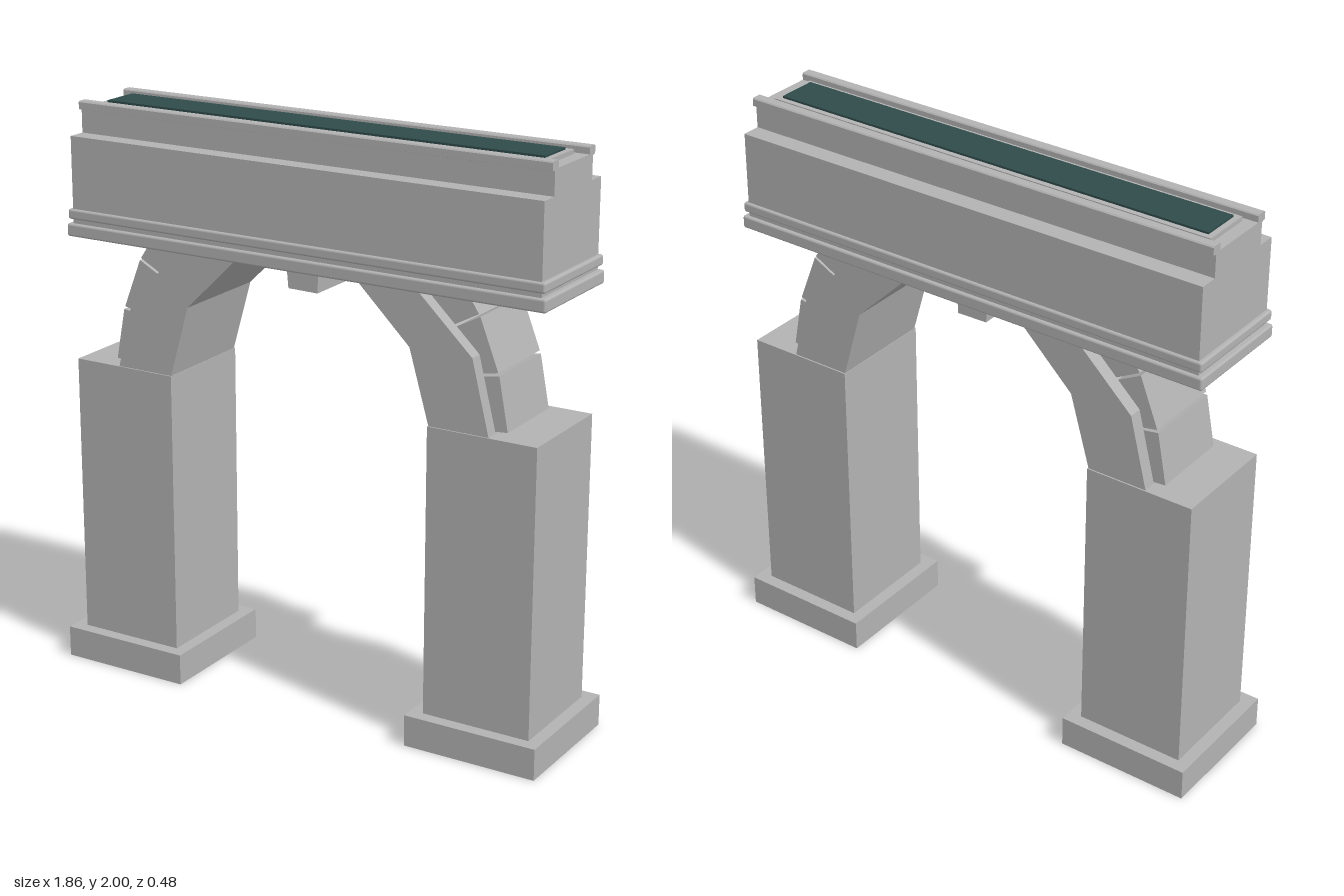
import * as THREE from 'three';
import { RoundedBoxGeometry } from 'three/addons/geometries/RoundedBoxGeometry.js';

export function createModel() {
  const model = new THREE.Group();
  model.name = 'archway';
  const stone = new THREE.MeshStandardMaterial({ color: 0xb2b2b2 });
  stone.name = 'grey stone';
  const slate = new THREE.MeshStandardMaterial({ color: 0x2f4a4a });
  slate.name = 'dark teal';

  const add = (name, geometry, parent = model, material = stone) => {
    const mesh = new THREE.Mesh(geometry, material);
    mesh.name = name;
    parent.add(mesh);
    return mesh;
  };
  // Box spanning y0..y1, centred on x and z = 0
  const box = (name, w, y0, y1, d, x = 0, parent = model, material = stone) => {
    const mesh = add(name, new THREE.BoxGeometry(w, y1 - y0, d), parent, material);
    mesh.position.set(x, (y0 + y1) / 2, 0);
    return mesh;
  };
  // Box with slightly softened edges
  const softBox = (name, w, y0, y1, d) => {
    const mesh = add(name, new RoundedBoxGeometry(w, y1 - y0, d, 2, 0.008));
    mesh.position.y = (y0 + y1) / 2;
  };
  // Outline extruded by a depth centred on zero
  const slab = (points, depth) => {
    const shape = new THREE.Shape(points.map(([x, y]) => new THREE.Vector2(x, y)));
    const g = new THREE.ExtrudeGeometry(shape, { depth, bevelEnabled: false });
    return g.translate(0, 0, -depth / 2);
  };

  // Pillars with plinths, curved braces and outer blocks
  for (const side of [1, -1]) {
    const leg = new THREE.Group();
    leg.name = side > 0 ? 'leftLeg' : 'rightLeg';
    model.add(leg);
    const flip = (pts) => pts.map(([x, y]) => [x * side, y]);

    box('plinth', 0.48, 0, 0.11, 0.48, side * 0.69, leg);
    box('pillar', 0.39, 0.11, 1.11, 0.39, side * 0.69, leg);

    add('archBrace', slab(flip([
      [0.5, 1.1], [0.715, 1.1], [0.65, 1.36], [0.45, 1.55], [0.23, 1.55], [0.425, 1.36],
    ]), 0.38), leg);

    const blocks = [
      [[0.7, 1.115], [0.755, 1.12], [0.721, 1.3], [0.66, 1.29], [0.62, 1.3]],
      [[0.62, 1.31], [0.665, 1.3], [0.717, 1.31], [0.65, 1.482], [0.563, 1.436], [0.52, 1.42]],
      [[0.52, 1.43], [0.56, 1.444], [0.645, 1.49], [0.605, 1.55], [0.42, 1.55]],
    ];
    blocks.forEach((pts, i) => add('archBlock' + (i + 1), slab(flip(pts), 0.285), leg));
  }

  // Keystone hanging below the lintel
  add('keystone', slab([[-0.058, 1.47], [0.053, 1.468], [0.057, 1.55], [-0.065, 1.55]], 0.28));

  // Cornice mouldings
  softBox('lowerCornice', 1.81, 1.545, 1.59, 0.415);
  box('corniceNeck', 1.77, 1.585, 1.61, 0.39);
  softBox('upperCornice', 1.8, 1.605, 1.64, 0.41);

  // Stepped lintel with a rail along each top edge, extruded along x
  const half = [
    [0.195, 1.635], [0.195, 1.89], [0.13, 1.89], [0.13, 1.968], [0.145, 1.972],
    [0.145, 1.996], [0.141, 2], [0.111, 2], [0.107, 1.996], [0.107, 1.975],
  ];
  const mirrored = half.map(([z, y]) => [-z, y]).reverse();
  add('lintel', slab([...half, ...mirrored], 1.77).rotateY(-Math.PI / 2));

  // Raised top panel and its dark inlay
  box('panelFrame', 1.68, 1.97, 1.99, 0.178);
  box('panelInlay', 1.64, 1.99, 1.997, 0.14, 0, model, slate);

  return model;
}
